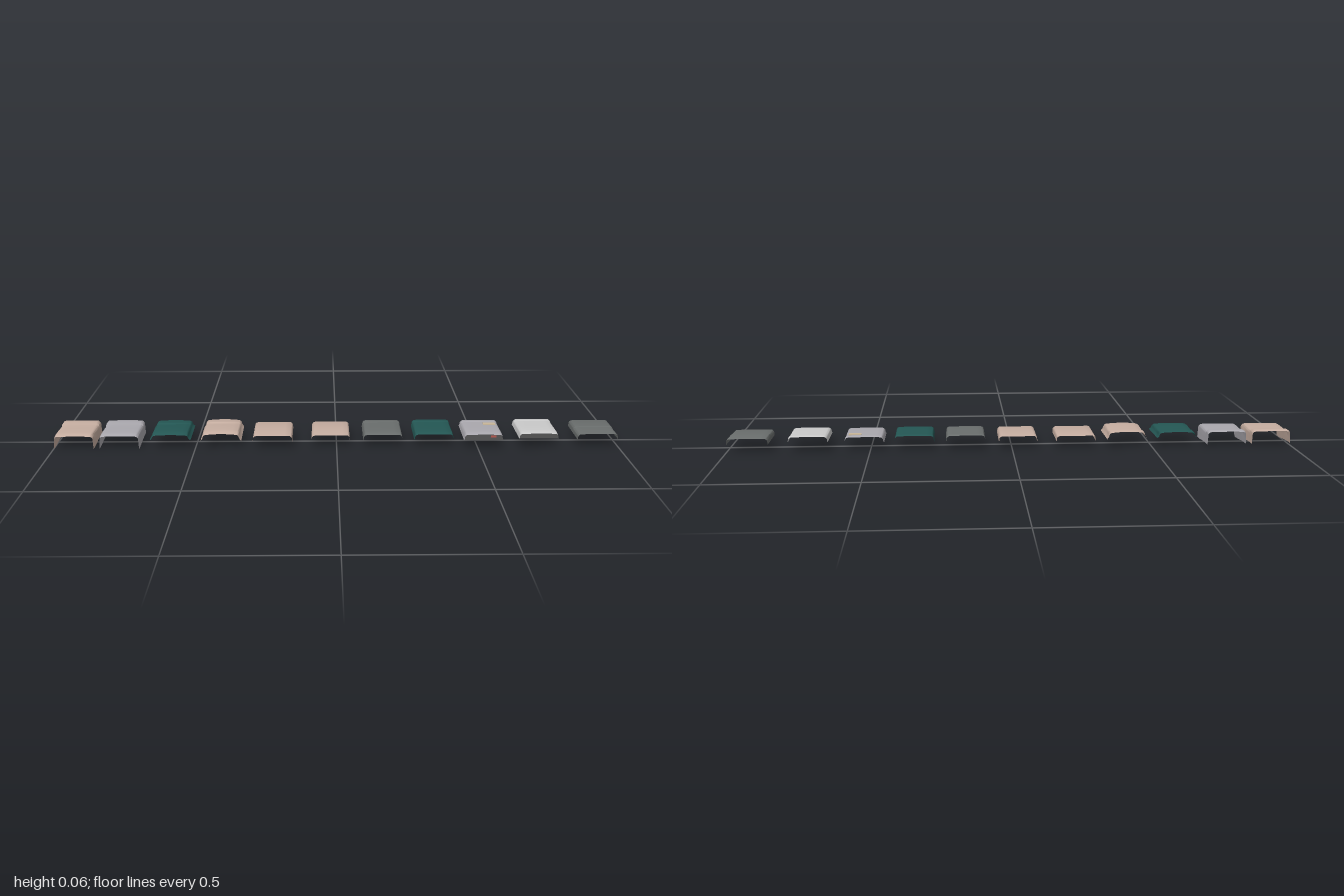
import * as THREE from 'three';
import { toCreasedNormals } from 'three/addons/utils/BufferGeometryUtils.js';

const colour = (name, hex) => {
  const m = new THREE.MeshStandardMaterial({ color: hex, side: THREE.DoubleSide });
  m.name = name;
  return m;
};

// U-shaped cross-section: hanging side, rounded shoulder, slightly crowned top, mirrored
function section(cx, half, top, bottom, z, bow, flare, crown) {
  const r = Math.min(0.011, (top - bottom) * 0.6), w = half - flare, left = [];
  left.push([-half, bottom], [-w - flare * 0.35, bottom + (top - r - bottom) * 0.5]);
  for (let i = 0; i <= 4; i++) {
    const a = (i / 4) * Math.PI / 2;
    left.push([-w + r * (1 - Math.cos(a)), top - r + r * Math.sin(a)]);
  }
  for (let i = 1; i <= 4; i++) {
    const t = i / 4;
    left.push([(-w + r) * (1 - t), top + crown * (1 - (1 - t) ** 2)]);
  }
  const right = left.slice(0, -1).reverse().map(([x, y]) => [-x, y]);
  return [...left, ...right].map(([x, y]) => [cx + x, y, z + bow * (1 - (x / half) ** 2)]);
}

// Sheet through a row of cross-sections
function loft(rows) {
  const n = rows[0].length, index = [];
  for (let j = 0; j < rows.length - 1; j++) {
    for (let i = 0; i < n - 1; i++) {
      const a = j * n + i, b = a + 1, c = a + n, d = c + 1;
      index.push(a, c, b, b, c, d);
    }
  }
  const g = new THREE.BufferGeometry();
  g.setAttribute('position', new THREE.Float32BufferAttribute(rows.flat(2), 3));
  g.setIndex(index);
  return toCreasedNormals(g, 0.7);
}

// Profiles from back to front: [z, height offset, forward bow]
const rolled = [[-0.083, -0.003, 0], [-0.077, 0.001, 0], [-0.06, 0.001, 0], [-0.048, 0, 0], [-0.045, -0.006, 0],
  [0, -0.005, 0], [0.05, -0.004, 0], [0.074, -0.006, 0], [0.082, -0.01, 0]];
const draped = [[-0.083, -0.003, 0], [-0.075, 0, 0], [-0.052, 0, 0.012], [-0.049, -0.004, 0.012],
  [-0.01, -0.003, 0], [0.045, 0, 0], [0.07, -0.002, 0], [0.082, -0.007, 0]];
const tucked = [[-0.083, -0.003, 0], [-0.077, 0, 0], [-0.064, 0, 0.004], [-0.062, -0.003, 0.004],
  [0, -0.002, 0], [0.055, -0.001, 0], [0.074, -0.003, 0], [0.082, -0.006, 0]];
const plain = [[-0.083, -0.002, 0], [-0.077, 0, 0], [0, 0, 0], [0.074, 0, 0], [0.082, -0.002, 0]];
const folded = [[-0.083, -0.002, 0], [-0.077, 0, 0], [-0.002, 0, 0], [0, -0.003, 0], [0.074, -0.003, 0], [0.08, -0.004, 0]];

export function createModel() {
  const group = new THREE.Group();
  const tan = colour('tan', 0xc6aea1), lilac = colour('lilac grey', 0xaaa8ae);
  const green = colour('deep green', 0x245754), slate = colour('slate grey', 0x6a6e6d);
  const pale = colour('pale grey', 0xcacaca), dark = colour('dark grey', 0x555556);
  const red = colour('red', 0xb8594f), sand = colour('sand', 0xc9b79a);

  // Centre, half width, top, hem at back and front, flare, crown, profile, material, front panel
  const covers = [
    [-0.928, 0.070, 0.056, 0.009, 0.001, 0.002, 0.001, rolled, tan],
    [-0.768, 0.070, 0.056, 0.008, 0.000, 0.002, 0.001, rolled, lilac],
    [-0.588, 0.072, 0.056, 0.034, 0.032, 0.008, 0.002, draped, green],
    [-0.409, 0.072, 0.058, 0.032, 0.029, 0.008, 0.003, draped, tan],
    [-0.227, 0.070, 0.048, 0.027, 0.025, 0.001, 0, plain, tan],
    [-0.021, 0.068, 0.049, 0.027, 0.025, 0.001, 0, plain, tan],
    [0.164, 0.070, 0.054, 0.030, 0.028, 0.002, 0.001, tucked, slate],
    [0.345, 0.070, 0.055, 0.031, 0.029, 0.002, 0.001, tucked, green],
    [0.521, 0.070, 0.053, 0.030, 0.028, 0.003, 0.001, tucked, lilac, true],
    [0.717, 0.070, 0.056, 0.034, 0.033, 0.002, 0.001, tucked, pale, true],
    [0.927, 0.072, 0.051, 0.028, 0.027, 0.001, 0.001, folded, slate],
  ];

  covers.forEach(([cx, half, top, backHem, frontHem, flare, crown, profile, mat, closed], k) => {
    const part = new THREE.Group();
    part.name = 'cover' + (k + 1);
    const rows = profile.map(([z, dy, bow]) => {
      const hem = THREE.MathUtils.lerp(backHem, frontHem, THREE.MathUtils.smoothstep(z, -0.05, 0.06));
      return section(cx, half, top + dy, hem, z, bow, flare, crown);
    });
    const sheet = new THREE.Mesh(loft(rows), mat);
    sheet.name = 'sheet';
    part.add(sheet);

    // Dark panel closing the front
    if (closed) {
      const shape = new THREE.Shape(rows[rows.length - 1].map(([x, y]) => new THREE.Vector2(x, y)));
      const panel = new THREE.Mesh(new THREE.ShapeGeometry(shape), dark);
      panel.name = 'frontPanel';
      panel.position.z = 0.082;
      part.add(panel);
    }
    group.add(part);
  });

  // Small patches on the lilac cover
  const patch = (name, mat, w, h, d, x, y, z) => {
    const m = new THREE.Mesh(new THREE.BoxGeometry(w, h, d), mat);
    m.name = name;
    m.position.set(x, y, z);
    group.add(m);
  };
  patch('topPatch', sand, 0.045, 0.002, 0.025, 0.555, 0.0515, -0.035);
  patch('frontPatch', red, 0.02, 0.006, 0.002, 0.555, 0.041, 0.0825);
  return group;
}
